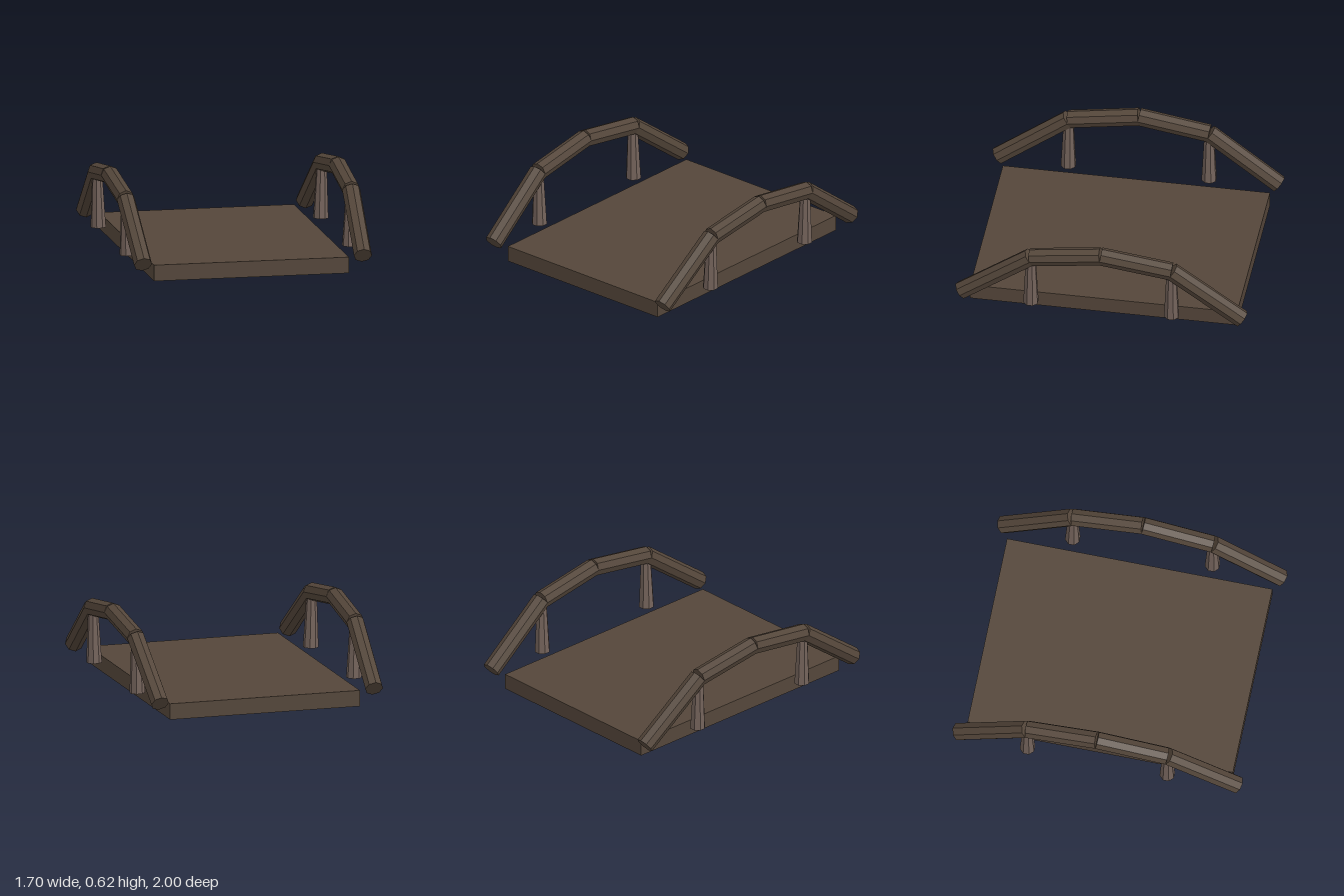
import * as THREE from 'three';

const darkWood = new THREE.MeshStandardMaterial({ color: 0x54463a, flatShading: true });
darkWood.name = 'dark wood';
const paleWood = new THREE.MeshStandardMaterial({ color: 0x73625a, flatShading: true });
paleWood.name = 'pale wood';

const UP = new THREE.Vector3(0, 1, 0);

// Eight-sided log running from one point to another
function log(name, from, to, rFrom, rTo, turn, material) {
  const a = new THREE.Vector3(...from);
  const b = new THREE.Vector3(...to);
  const dir = b.clone().sub(a);
  const geometry = new THREE.CylinderGeometry(rTo, rFrom, dir.length(), 8);
  geometry.rotateY(turn);
  const mesh = new THREE.Mesh(geometry, material);
  mesh.name = name;
  mesh.position.copy(a).add(b).multiplyScalar(0.5);
  mesh.quaternion.setFromUnitVectors(UP, dir.normalize());
  return mesh;
}

export function createModel() {
  const model = new THREE.Group();
  model.name = 'footbridge';

  // Flat walkway
  const deck = new THREE.Mesh(new THREE.BoxGeometry(1.345, 0.11, 1.83), darkWood);
  deck.name = 'deck';
  deck.position.y = 0.055;
  model.add(deck);

  for (const side of [1, -1]) {
    const railing = new THREE.Group();
    railing.name = side > 0 ? 'leftRailing' : 'rightRailing';
    for (const end of [1, -1]) {
      // Arched handrail: a low sloping log and a nearly level one per half
      const foot = [side * 0.759, 0.127, end * 0.963];
      const knee = [side * 0.778, 0.483, end * 0.483];
      const crown = [side * 0.787, 0.556, 0];
      railing.add(log('slopingRail', foot, knee, 0.062, 0.062, 0, darkWood));
      railing.add(log('upperRail', knee, crown, 0.062, 0.062, 0, darkWood));

      // Tapered post beneath the bend
      railing.add(log('post', [side * 0.768, 0.1, end * 0.482],
        [side * 0.775, 0.47, end * 0.482], 0.053, 0.035, Math.PI / 8, paleWood));
    }
    model.add(railing);
  }
  return model;
}
